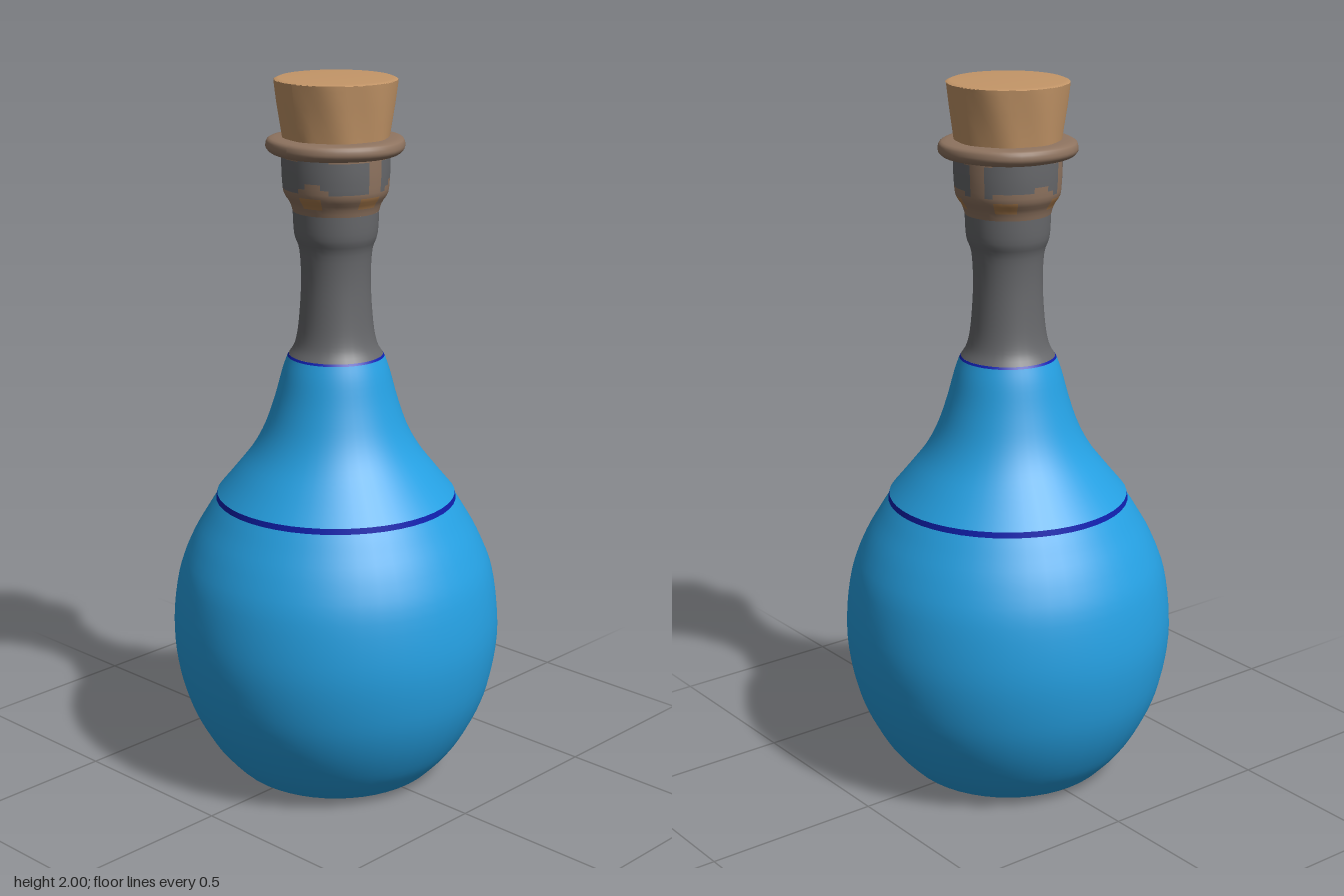
import * as THREE from 'three';

const mat = (name, color) => {
  const m = new THREE.MeshStandardMaterial({ color });
  m.name = name;
  return m;
};

export function createModel() {
  const group = new THREE.Group();
  const blue = mat('blue glaze', 0x25a0e2);
  const navy = mat('navy trim', 0x1020b0);
  const grey = mat('grey neck', 0x67686b);
  const brown = mat('stained brown', 0x8f7460);
  const tan = mat('tan stain', 0xa87a4c);
  const cork = mat('cork', 0xc49668);

  const vecs = (pts) => pts.map(([r, y]) => new THREE.Vector2(r, y));
  const smooth = (pts, n) => new THREE.SplineCurve(vecs(pts)).getPoints(n);

  // Revolve a [radius, height] profile, listed from bottom to top
  function turn(name, points, material, segments = 48) {
    const mesh = new THREE.Mesh(new THREE.LatheGeometry(points, segments), material);
    mesh.name = name;
    group.add(mesh);
    return mesh;
  }

  // Uneven, hand-cut look: vary the radius around the axis
  function wobble(mesh, amount, lobes, twist) {
    const p = mesh.geometry.attributes.position;
    for (let i = 0; i < p.count; i++) {
      const a = Math.atan2(p.getX(i), p.getZ(i));
      const k = 1 + amount * Math.sin(lobes * a + twist * p.getY(i));
      p.setX(i, p.getX(i) * k);
      p.setZ(i, p.getZ(i) * k);
    }
    mesh.geometry.computeVertexNormals();
  }

  // Bulb and sloping shoulder, divided by the painted ring
  turn('base', vecs([[0, 0], [0.24, 0]]), blue);
  turn('bulb', smooth([[0.24, 0], [0.275, 0.01], [0.305, 0.035], [0.36, 0.1], [0.415, 0.2],
    [0.45, 0.31], [0.465, 0.45], [0.447, 0.6], [0.41, 0.7], [0.365, 0.78], [0.339, 0.822]], 40), blue);
  turn('shoulderRing', vecs([[0.339, 0.822], [0.336, 0.838]]), navy);
  turn('shoulder', smooth([[0.336, 0.838], [0.285, 0.9], [0.235, 0.965], [0.2, 1.03], [0.172, 1.11],
    [0.15, 1.19], [0.135, 1.233]], 24), blue);
  turn('neckRing', vecs([[0.135, 1.232], [0.131, 1.239]]), navy);

  // Slim neck
  turn('neck', smooth([[0.131, 1.239], [0.114, 1.27], [0.103, 1.33], [0.096, 1.44], [0.1, 1.53],
    [0.114, 1.575], [0.118, 1.64]], 24), grey, 32);

  // Stained lip with irregular grey and tan patches
  const lip = turn('lip', smooth([[0.118, 1.64], [0.126, 1.665], [0.142, 1.69], [0.146, 1.72],
    [0.148, 1.76], [0.148, 1.805]], 12), [brown, grey, tan], 40);
  for (let s = 0; s < 40; s++) {
    const a = (s / 40) * Math.PI * 2;
    for (let j = 0; j < 12; j++) {
      const wave = Math.sin(3 * a + 1) + 0.6 * Math.sin(7 * a);
      let m = 0;
      if (j > 6 + wave && j < 11 + wave && wave > -1.1) m = 1;
      else if (j > 1 && j < 5 && Math.sin(5 * a + 0.6) > 0.35) m = 2;
      lip.geometry.addGroup((s * 12 + j) * 6, 6, m);
    }
  }

  // Rounded collar
  const collar = turn('collar', smooth([[0.14, 1.797], [0.17, 1.797], [0.186, 1.808], [0.189, 1.822],
    [0.18, 1.838], [0.14, 1.842]], 16), brown, 40);
  wobble(collar, 0.012, 5, 0);

  // Tapered stopper
  const stopper = turn('stopper', vecs([[0.143, 1.83], [0.15, 1.88], [0.158, 1.93], [0.165, 1.98],
    [0.167, 1.996]]), cork, 40);
  wobble(stopper, 0.012, 8, 14);
  turn('stopperTop', vecs([[0.167, 1.995], [0.155, 2], [0, 2]]), cork, 40);

  return group;
}
